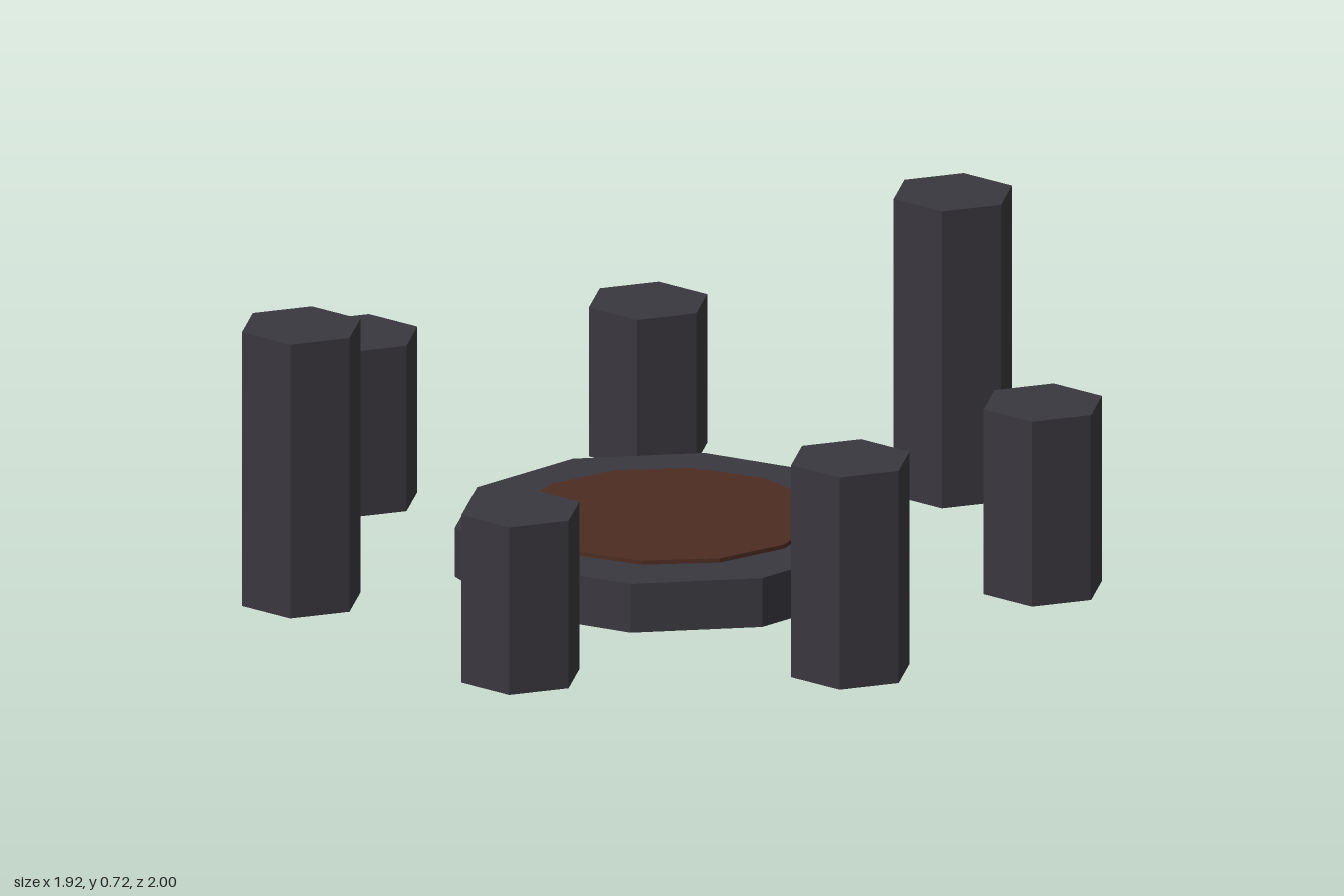
import * as THREE from 'three';

export function createModel() {
  const model = new THREE.Group();
  model.name = 'stoneCircle';

  const stone = new THREE.MeshStandardMaterial({ color: 0x3a383f, flatShading: true });
  stone.name = 'dark stone';
  const rust = new THREE.MeshStandardMaterial({ color: 0x4d2c22, flatShading: true });
  rust.name = 'rust brown';

  const centreX = -0.045;

  // Upright prism from y = bottom to y = top
  function prism(name, radius, sides, bottom, top, x, z, material) {
    const geometry = new THREE.CylinderGeometry(radius, radius, top - bottom, sides);
    const mesh = new THREE.Mesh(geometry, material);
    mesh.name = name;
    mesh.position.set(x, (bottom + top) / 2, z);
    model.add(mesh);
  }

  // Low central platform with a shallow raised disc
  prism('platform', 0.495, 10, 0, 0.118, centreX, 0, stone);
  prism('platformDisc', 0.35, 12, 0.1, 0.128, centreX, 0, rust);

  // Seven hexagonal pillars of differing heights, evenly spaced on a ring
  const heights = [0.447, 0.513, 0.405, 0.662, 0.4, 0.36, 0.718];
  const ringRadius = 0.876;
  heights.forEach((height, i) => {
    const angle = (i / heights.length) * Math.PI * 2;
    const x = centreX + Math.cos(angle) * ringRadius;
    const z = Math.sin(angle) * ringRadius;
    prism(`pillar${i + 1}`, 0.145, 6, 0, height, x, z, stone);
  });

  return model;
}
